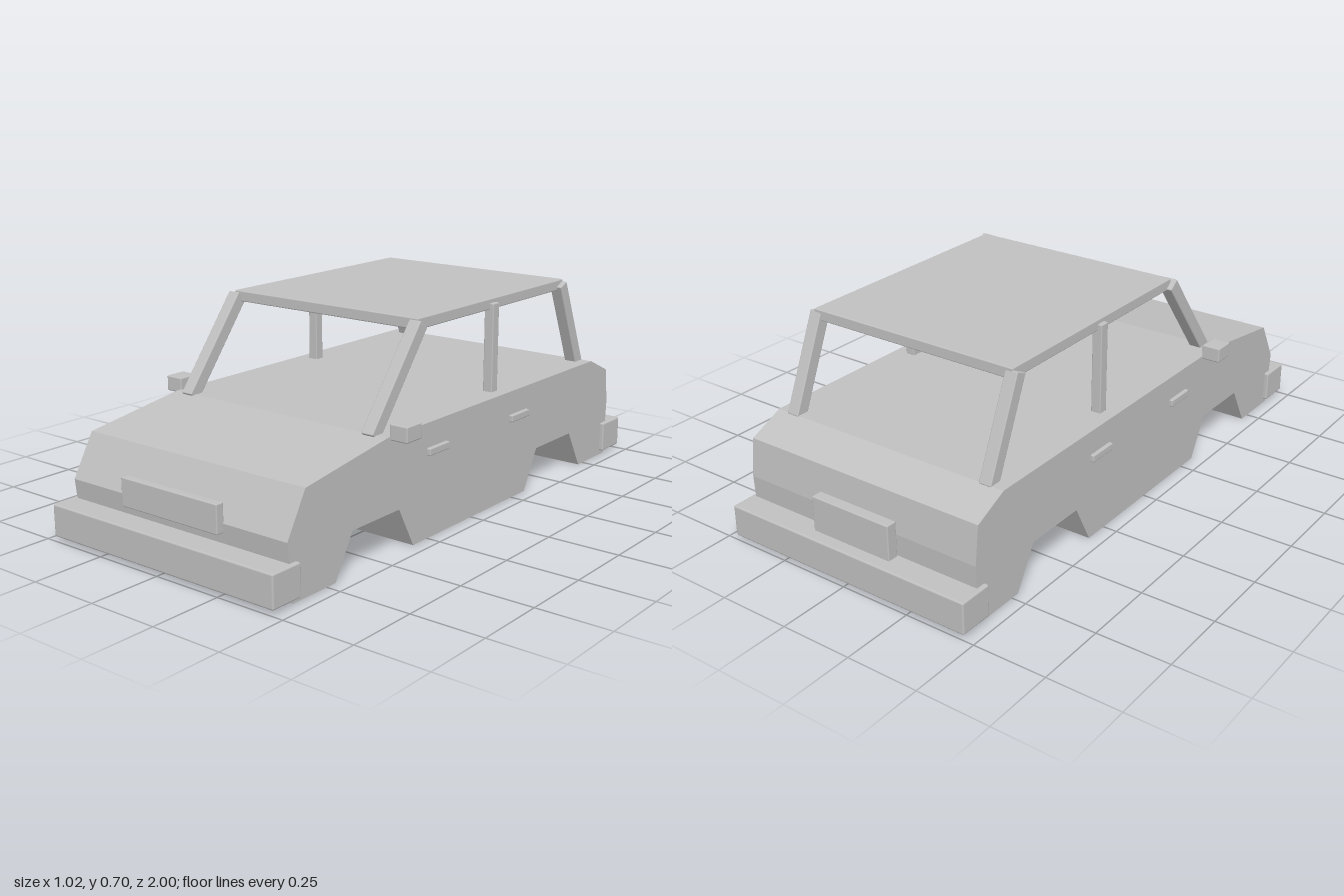
import * as THREE from 'three';
import { RoundedBoxGeometry } from 'three/addons/geometries/RoundedBoxGeometry.js';

export function createModel() {
  const car = new THREE.Group();
  car.name = 'car';
  const grey = new THREE.MeshStandardMaterial({ color: 0xc0c0c0 });
  grey.name = 'plain grey';

  const add = (name, geometry) => {
    const mesh = new THREE.Mesh(geometry, grey);
    mesh.name = name;
    car.add(mesh);
    return mesh;
  };

  // Slightly softened box given by its extents
  const block = (name, [x0, x1], [y0, y1], [z0, z1], radius = 0.004) => {
    const mesh = add(name, new RoundedBoxGeometry(x1 - x0, y1 - y0, z1 - z0, 2, radius));
    mesh.position.set((x0 + x1) / 2, (y0 + y1) / 2, (z0 + z1) / 2);
    return mesh;
  };

  // Square bar leaning in the z direction, from [y, z] to [y, z]
  const pillar = (name, x, [y0, z0], [y1, z1], width, depth) => {
    const length = Math.hypot(y1 - y0, z1 - z0);
    const mesh = add(name, new RoundedBoxGeometry(width, length, depth, 2, 0.004));
    mesh.position.set(x, (y0 + y1) / 2, (z0 + z1) / 2);
    mesh.rotation.x = Math.atan2(z1 - z0, y1 - y0);
  };

  // Lower body: side profile [z, y] with wheel cut-outs, extruded across the car
  const profile = [
    [0.9, 0], [0.92, 0.19], [0.84, 0.33], [0.46, 0.385], [-0.785, 0.385],
    [-0.905, 0.33], [-0.92, 0.2], [-0.91, 0], [-0.72, 0], [-0.64, 0.14],
    [-0.41, 0.14], [-0.335, 0], [0.325, 0], [0.4, 0.14], [0.63, 0.14], [0.71, 0],
  ];
  const body = new THREE.ExtrudeGeometry(
    new THREE.Shape(profile.map(([z, y]) => new THREE.Vector2(z, y))),
    { depth: 0.9, bevelEnabled: false });
  body.translate(0, 0, -0.45);
  body.rotateY(-Math.PI / 2);
  add('body', body);

  // Roof panel
  block('roof', [-0.39, 0.39], [0.668, 0.705], [-0.658, 0.228]);

  // Bumpers and number plates
  block('frontBumper', [-0.465, 0.465], [0.016, 0.125], [0.88, 1], 0.006);
  block('rearBumper', [-0.465, 0.465], [0.016, 0.125], [-1, -0.878], 0.006);
  block('frontPlate', [-0.202, 0.202], [0.16, 0.255], [0.915, 0.945]);
  block('rearPlate', [-0.152, 0.152], [0.122, 0.245], [-0.957, -0.918]);

  // Pillars, mirrors and door handles on both sides
  for (const [side, s] of [['left', 1], ['right', -1]]) {
    const span = (a, b) => (s > 0 ? [a, b] : [-b, -a]);
    pillar(side + 'FrontPillar', s * 0.385, [0.375, 0.463], [0.688, 0.219], 0.045, 0.046);
    pillar(side + 'MiddlePillar', s * 0.387, [0.37, -0.197], [0.69, -0.197], 0.036, 0.036);
    pillar(side + 'RearPillar', s * 0.385, [0.375, -0.771], [0.69, -0.636], 0.045, 0.044);
    block(side + 'Mirror', span(0.445, 0.512), [0.373, 0.426], [0.37, 0.446], 0.005);
    block(side + 'FrontHandle', span(0.445, 0.463), [0.278, 0.303], [0.148, 0.256]);
    block(side + 'RearHandle', span(0.445, 0.463), [0.278, 0.303], [-0.334, -0.225]);
  }
  return car;
}
